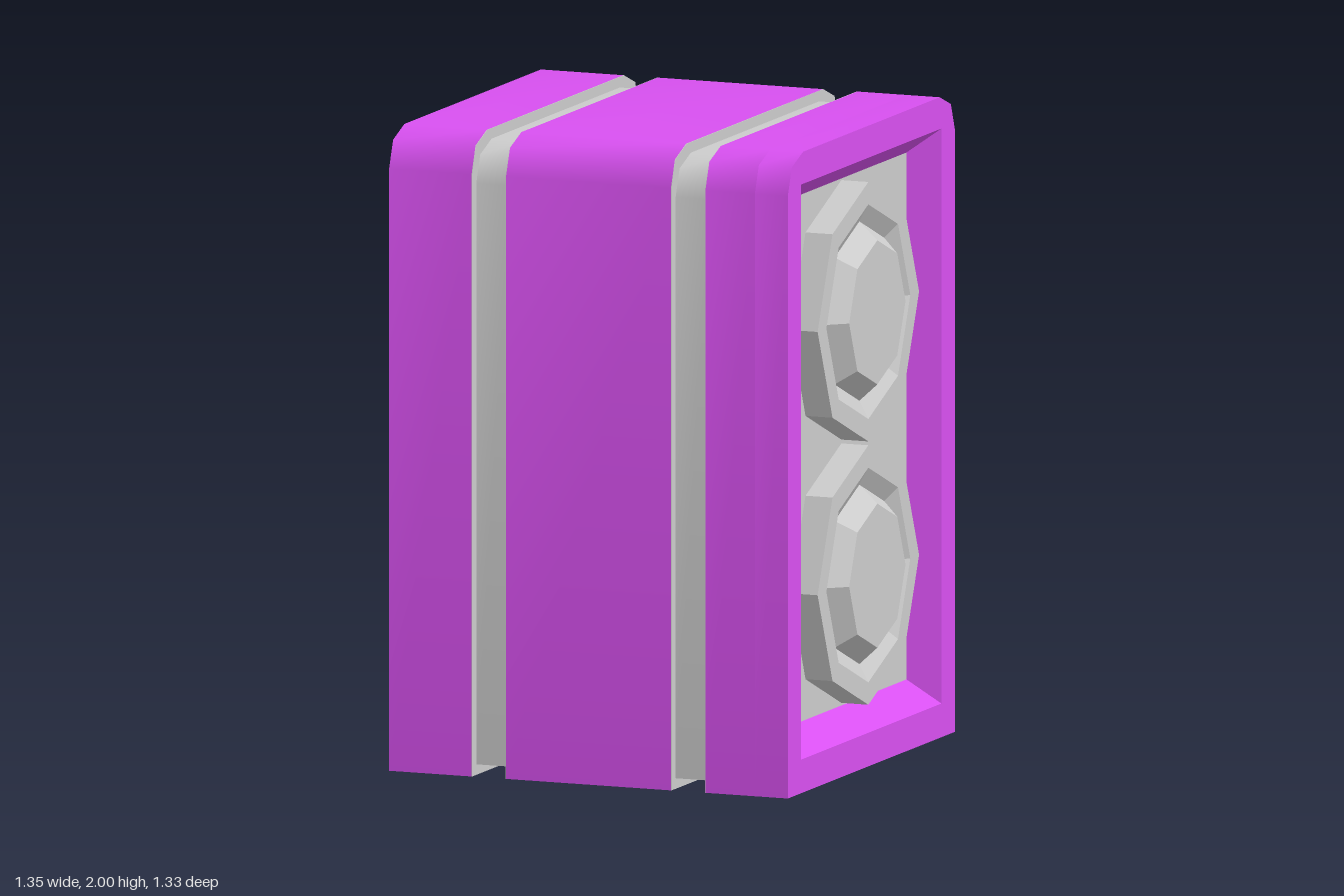
import * as THREE from 'three';
import { toCreasedNormals } from 'three/addons/utils/BufferGeometryUtils.js';

const purple = new THREE.MeshStandardMaterial({ color: 0xd850f0 });
const purpleLining = new THREE.MeshStandardMaterial({ color: 0xd850f0, side: THREE.DoubleSide, flatShading: true });
const grey = new THREE.MeshStandardMaterial({ color: 0xcccccc });
const greyFacet = new THREE.MeshStandardMaterial({ color: 0xcccccc, flatShading: true });

const FLOOR = 0.555, FACE = 0.655; // recess floor and front of the speaker frame

// Cabinet cross-section: square bottom, chamfered top; inset shrinks it evenly
function section(inset = 0) {
  const w = 0.667 - inset, b = inset, t = 2 - inset;
  return new THREE.Shape([
    [-w, b], [w, b], [w, t - 0.12], [w - 0.032, t - 0.035], [w - 0.122, t],
    [-w + 0.122, t], [-w + 0.032, t - 0.035], [-w, t - 0.12],
  ].map(([x, y]) => new THREE.Vector2(x, y)));
}

// Extrude a cross-section along x between two positions
function slab(name, shape, x0, x1, material) {
  let geo = new THREE.ExtrudeGeometry(shape, { depth: x1 - x0, bevelEnabled: false });
  geo = toCreasedNormals(geo, 0.9);
  geo.rotateY(Math.PI / 2).translate(x0, 0, 0);
  const mesh = new THREE.Mesh(geo, material);
  mesh.name = name;
  return mesh;
}

// Rectangle corners [z, y] of the recess
const rect = (w, y0, y1) => [[-w, y0], [w, y0], [w, y1], [-w, y1]];

// Sloping walls from the frame opening down to the recess floor
function lining(outer, inner) {
  const pos = [];
  for (let i = 0; i < 4; i++) {
    const j = (i + 1) % 4;
    const a = [FACE, outer[i][1], outer[i][0]], b = [FACE, outer[j][1], outer[j][0]];
    const c = [FLOOR, inner[j][1], inner[j][0]], d = [FLOOR, inner[i][1], inner[i][0]];
    pos.push(...a, ...b, ...c, ...a, ...c, ...d);
  }
  const geo = new THREE.BufferGeometry();
  geo.setAttribute('position', new THREE.Float32BufferAttribute(pos, 3));
  geo.computeVertexNormals();
  const mesh = new THREE.Mesh(geo, purpleLining);
  mesh.name = 'recessWalls';
  return mesh;
}

// Eight-sided speaker: raised ring, sunken cone and protruding centre cap
function speaker(name, y) {
  const profile = [
    [0.405, 0], [0.405, 0.09], [0.335, 0.09], [0.28, 0.06], [0.225, 0.12], [0, 0.12],
  ].map(([r, h]) => new THREE.Vector2(r, h));
  const mesh = new THREE.Mesh(new THREE.LatheGeometry(profile, 8), greyFacet);
  mesh.rotation.z = -Math.PI / 2;
  mesh.position.set(FLOOR, y, 0);
  mesh.name = name;
  return mesh;
}

export function createModel() {
  const model = new THREE.Group();
  model.name = 'speakerCabinet';

  // Three coloured cabinet sections
  model.add(
    slab('rearSection', section(), -0.675, -0.4, purple),
    slab('middleSection', section(), -0.285, 0.265, purple),
    slab('frontSection', section(), 0.38, FLOOR - 0.01, purple),
  );

  // Grey grooves between them: inset band with a thin grey plate on each wall
  for (const [x0, x1] of [[-0.4, -0.285], [0.265, 0.38]]) {
    model.add(
      slab('grooveBand', section(0.033), x0, x1, grey),
      slab('grooveWall', section(), x0, x0 + 0.002, grey),
      slab('grooveWall', section(), x1 - 0.002, x1, grey),
    );
  }

  // Frame around the speaker recess
  const opening = rect(0.56, 0.105, 1.9);
  const frame = section();
  frame.holes.push(new THREE.Path(opening.map(([z, y]) => new THREE.Vector2(z, y)).reverse()));
  model.add(slab('speakerFrame', frame, FLOOR - 0.01, FACE, purple));
  model.add(lining(opening, rect(0.52, 0.18, 1.825)));

  // Grey panel and its two speakers
  const panel = new THREE.Mesh(new THREE.BoxGeometry(0.02, 1.645, 1.04), grey);
  panel.position.set(FLOOR - 0.01, 1.0025, 0);
  panel.name = 'speakerPanel';
  model.add(panel, speaker('upperSpeaker', 1.415), speaker('lowerSpeaker', 0.593));

  return model;
}
